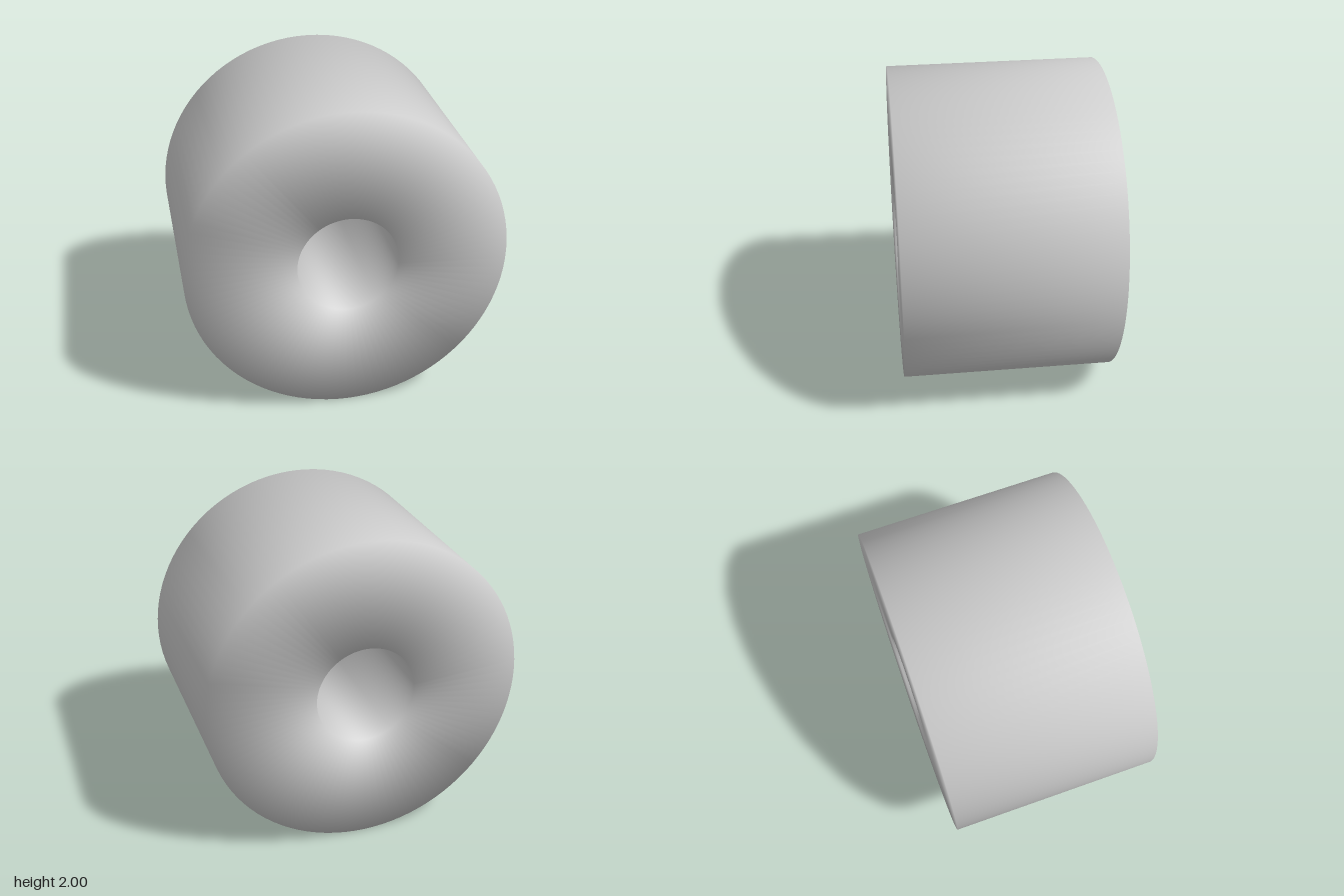
import * as THREE from 'three';
import { mergeVertices } from 'three/addons/utils/BufferGeometryUtils.js';

const OUTER = 1, BORE = 0.315, HALF = 0.66;

export function createModel() {
  const group = new THREE.Group();
  group.name = 'thickRing';

  // Closed rectangular section: outer wall, front cap, bore, back cap
  const section = [[OUTER, -HALF], [OUTER, HALF], [BORE, HALF], [BORE, -HALF], [OUTER, -HALF]]
    .map(([r, y]) => new THREE.Vector2(r, y));
  let geometry = new THREE.LatheGeometry(section, 96);

  // Weld the rims so shading runs smoothly over every edge
  geometry.deleteAttribute('normal');
  geometry.deleteAttribute('uv');
  geometry = mergeVertices(geometry, 1e-4);
  geometry.computeVertexNormals();

  // Lay the axis along z and rest the ring on the ground
  geometry.rotateX(Math.PI / 2);
  geometry.translate(0, OUTER, 0);

  const ring = new THREE.Mesh(geometry, new THREE.MeshStandardMaterial({ color: 0xcccccc }));
  ring.name = 'ringBody';
  group.add(ring);
  return group;
}
